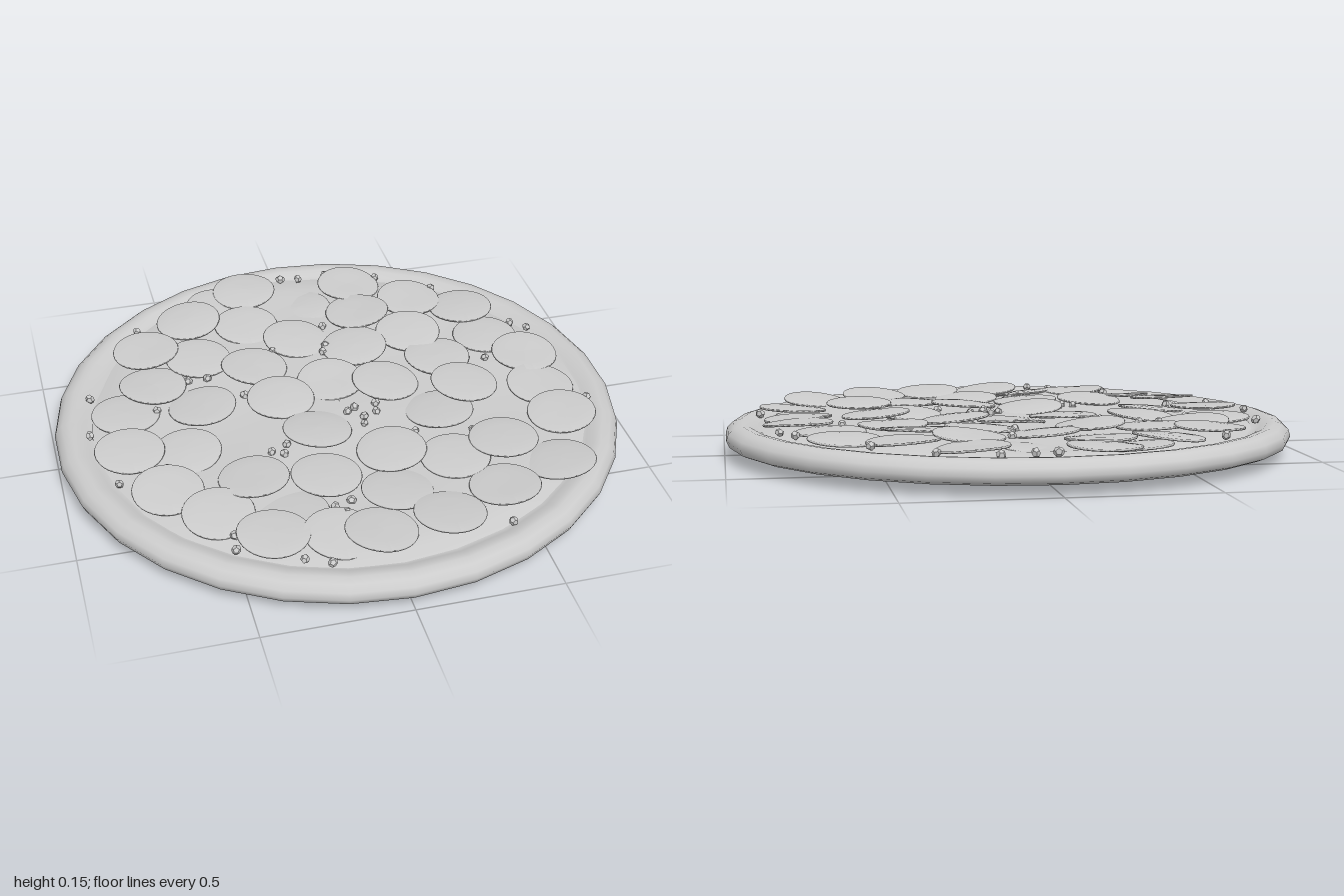
import * as THREE from 'three';

const material = new THREE.MeshStandardMaterial({ color: 0xcccccc, side: THREE.DoubleSide });

// Small seeded generator, values 0..1
function seeded(seed) {
  let s = seed;
  return () => (s = (s * 16807) % 2147483647) / 2147483647;
}

function add(parent, geometry, name) {
  const mesh = new THREE.Mesh(geometry, material);
  mesh.name = name;
  parent.add(mesh);
  return mesh;
}

const v2 = (list) => list.map(([x, y]) => new THREE.Vector2(x, y));

// Gently rolling surface of the cheese
const cheeseHeight = (x, z) =>
  0.11 + 0.005 * Math.sin(7 * x + 2) * Math.cos(6 * z) + 0.003 * Math.sin(11 * z + 5 * x);

// Slice centres: x, z, lift above the cheese
const slices = [
  [-0.17, -0.80, 0.014], [0.24, -0.75, 0.014], [-0.42, -0.64, 0.014], [-0.21, -0.57, 0.009],
  [0.22, -0.54, 0.014], [0.44, -0.59, 0.008], [0.62, -0.49, 0.013], [-0.61, -0.47, 0.018],
  [-0.43, -0.38, 0.011], [-0.05, -0.43, 0.008], [-0.24, -0.28, 0.008], [0.15, -0.32, 0.014],
  [0.37, -0.36, 0.018], [0.65, -0.28, 0.006], [-0.62, -0.25, 0.008], [-0.47, -0.08, 0.014],
  [-0.19, -0.06, 0.014], [0.01, -0.13, 0.008], [0.20, -0.07, 0.014], [0.43, -0.18, 0.011],
  [0.75, -0.12, 0.009], [-0.74, -0.11, -0.001], [0.47, 0.02, 0.025], [-0.76, 0.12, 0.014],
  [-0.57, 0.16, 0.008], [-0.11, 0.16, 0.011], [0.34, 0.14, 0.010], [0.74, 0.08, 0.005],
  [0.75, 0.27, 0.014], [-0.67, 0.37, 0.014], [-0.38, 0.37, 0.011], [-0.14, 0.41, 0.014],
  [0.11, 0.33, 0.016], [0.31, 0.42, 0.008], [0.50, 0.37, 0.016], [0.65, 0.53, 0.014],
  [0.07, 0.54, 0.009], [0.42, 0.62, 0.012], [-0.53, 0.52, 0.004], [-0.38, 0.67, 0.014],
  [-0.29, 0.56, 0.003], [-0.04, 0.74, 0.014], [0.20, 0.71, 0.014], [-0.29, -0.73, 0.000],
  [0.02, -0.66, -0.006], [-0.17, 0.71, 0.002],
];

// Crumb centres: x, z
const crumbs = [
  [-0.01, -0.86], [0.06, -0.85], [0.17, -0.86], [-0.62, -0.62], [0.36, -0.79], [0.55, -0.65],
  [0.07, -0.49], [0.05, -0.36], [0.03, -0.32], [-0.15, -0.37], [-0.49, -0.25], [-0.42, -0.25],
  [-0.85, -0.23], [-0.63, -0.10], [-0.88, 0.00], [0.77, -0.34], [0.82, -0.29], [0.05, 0.06],
  [0.07, 0.12], [0.12, 0.10], [0.06, 0.16], [0.13, 0.05], [0.02, 0.08], [-0.23, 0.21],
  [-0.29, 0.24], [-0.25, 0.26], [-0.82, 0.28], [-0.65, 0.24], [0.22, 0.24], [0.42, 0.28],
  [0.87, 0.20], [-0.15, 0.57], [-0.09, 0.55], [-0.12, 0.61], [-0.51, 0.71], [-0.50, 0.64],
  [-0.31, 0.81], [-0.23, 0.85], [0.39, 0.79], [0.16, -0.19], [0.60, -0.13], [-0.31, -0.12],
];

// Thin round slice, softly bent so that its edge waves
function sliceGeometry(random) {
  const geometry = new THREE.LatheGeometry(v2([
    [0, -0.004], [0.07, -0.004], [0.119, -0.004], [0.121, 0], [0.119, 0.004], [0.07, 0.007], [0, 0.008],
  ]), 32);
  const bend = (random() - 0.4) * 0.9, turn = random() * Math.PI;
  const position = geometry.attributes.position;
  for (let i = 0; i < position.count; i++) {
    const x = position.getX(i), z = position.getZ(i);
    const along = x * Math.cos(turn) + z * Math.sin(turn);
    position.setY(i, position.getY(i) + bend * (along * along - 0.004));
  }
  geometry.computeVertexNormals();
  return geometry;
}

export function createModel() {
  const model = new THREE.Group();
  model.name = 'pizza';
  const random = seeded(4711);

  // Dough base with a shallow domed underside and a raised rim
  add(model, new THREE.LatheGeometry(v2([
    [0, 0], [0.35, 0.001], [0.65, 0.013], [0.88, 0.026], [0.965, 0.033], [0.99, 0.043], [1, 0.065],
    [0.993, 0.088], [0.972, 0.107], [0.945, 0.115], [0.92, 0.112], [0.895, 0.1], [0.86, 0.085], [0, 0.085],
  ]), 30), 'crust');

  // Cheese disc built from rings, sinking into the rim at its uneven edge
  const cheese = new THREE.RingGeometry(0.001, 0.89, 48, 16);
  cheese.rotateX(-Math.PI / 2);
  const position = cheese.attributes.position;
  for (let i = 0; i < position.count; i++) {
    const x = position.getX(i), z = position.getZ(i);
    const r = Math.hypot(x, z), a = Math.atan2(z, x);
    const s = 1 + 0.018 * Math.sin(3 * a + 0.6) * r;
    const drop = 0.022 * THREE.MathUtils.smoothstep(r, 0.8, 0.89);
    position.setXYZ(i, x * s + 0.01, cheeseHeight(x, z) - drop, z * s);
  }
  cheese.computeVertexNormals();
  add(model, cheese, 'cheese');

  // Round slices, each slightly tilted
  const sliceGroup = new THREE.Group();
  sliceGroup.name = 'slices';
  model.add(sliceGroup);
  for (const [x, z, lift] of slices) {
    const slice = add(sliceGroup, sliceGeometry(random), 'slice');
    slice.position.set(x, cheeseHeight(x, z) + lift, z);
    slice.rotation.set((random() - 0.5) * 0.2, 0, (random() - 0.5) * 0.2);
  }

  // Faceted crumbs between the slices
  const crumbGroup = new THREE.Group();
  crumbGroup.name = 'crumbs';
  model.add(crumbGroup);
  const crumbGeometry = new THREE.DodecahedronGeometry(0.017);
  for (const [x, z] of crumbs) {
    const crumb = add(crumbGroup, crumbGeometry, 'crumb');
    crumb.position.set(x, cheeseHeight(x, z) + 0.006, z);
    crumb.rotation.set(random() * 3, random() * 3, random() * 3);
    crumb.scale.set(1, 0.8 + 0.3 * random(), 0.9);
  }
  return model;
}
